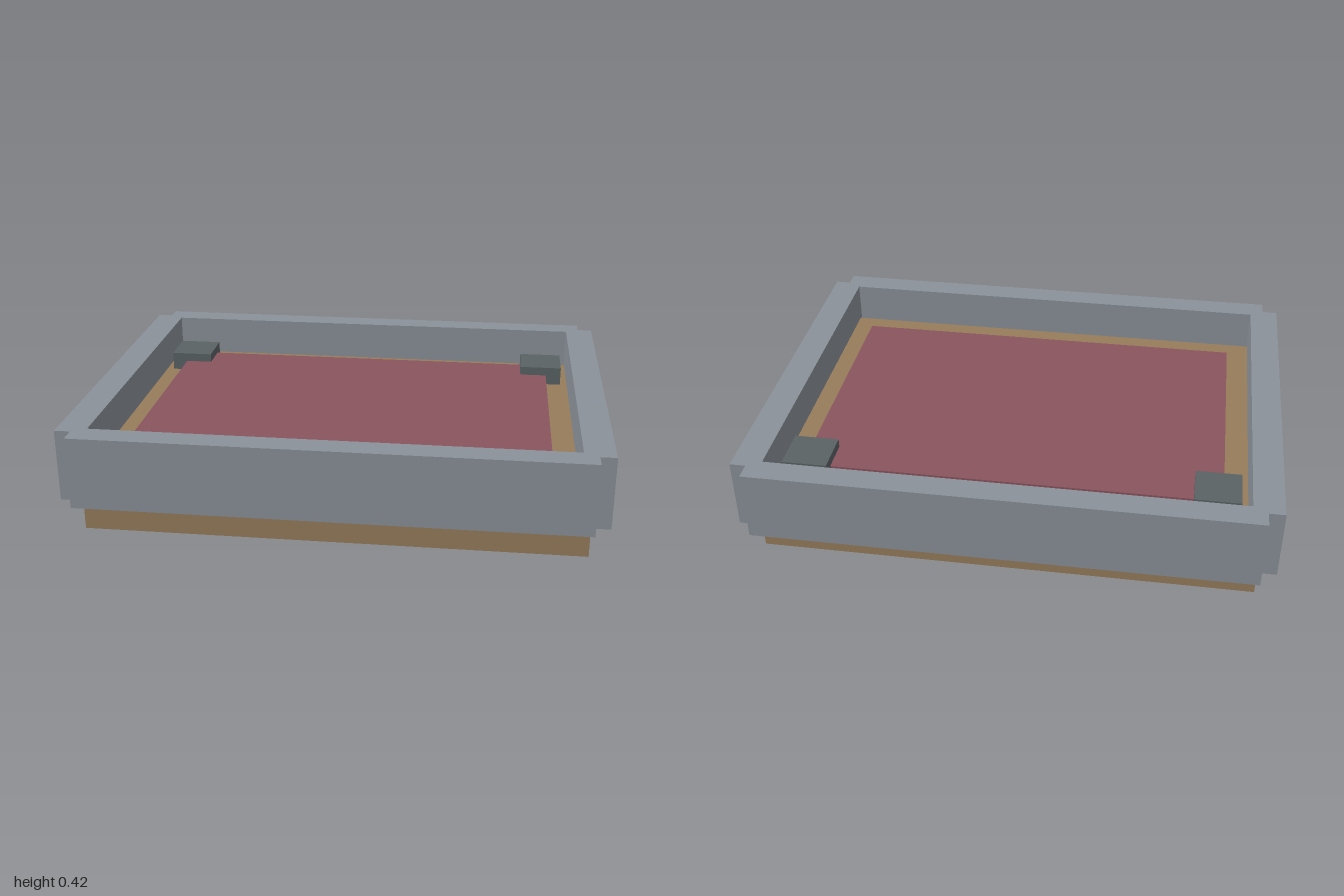
import * as THREE from 'three';

const material = (name, color) => {
  const m = new THREE.MeshStandardMaterial({ color });
  m.name = name;
  return m;
};

export function createModel() {
  const model = new THREE.Group();
  model.name = 'framedTray';

  const grey = material('wallGrey', 0x8a9199);
  const brown = material('baseBrown', 0x967c5b);
  const red = material('matRed', 0x8a545e);
  const slate = material('blockSlate', 0x5a6264);

  // Box given by its size, bottom height and centre
  const addBox = (name, mat, w, d, y0, y1, x = 0, z = 0) => {
    const mesh = new THREE.Mesh(new THREE.BoxGeometry(w, y1 - y0, d), mat);
    mesh.name = name;
    mesh.position.set(x, (y0 + y1) / 2, z);
    model.add(mesh);
  };

  // Base slab and the raised mat on it
  addBox('base', brown, 1.87, 1.31, 0, 0.265);
  addBox('mat', red, 1.59, 1.046, 0.265, 0.305);

  // Two blocks in the back corners
  addBox('leftBlock', slate, 0.172, 0.172, 0.265, 0.34, 0.772, -0.483);
  addBox('rightBlock', slate, 0.172, 0.172, 0.265, 0.34, -0.772, -0.483);

  // Surrounding wall: rectangle with notched corners and an open middle
  const X = 1, x = 0.94, Z = 0.773, z = 0.708;
  const points = (list) => list.map(([a, b]) => new THREE.Vector2(a, b));
  const outline = new THREE.Shape(points([
    [X, -z], [X, z], [x, z], [x, Z], [-x, Z], [-x, z],
    [-X, z], [-X, -z], [-x, -z], [-x, -Z], [x, -Z], [x, -z],
  ]));
  const hx = 0.887, hz = 0.675;
  outline.holes.push(new THREE.Path(points([[-hx, -hz], [-hx, hz], [hx, hz], [hx, -hz]])));
  const wallGeometry = new THREE.ExtrudeGeometry(outline, { depth: 0.275, bevelEnabled: false });
  wallGeometry.rotateX(-Math.PI / 2);
  const wall = new THREE.Mesh(wallGeometry, grey);
  wall.name = 'wall';
  wall.position.y = 0.142;
  model.add(wall);

  return model;
}
